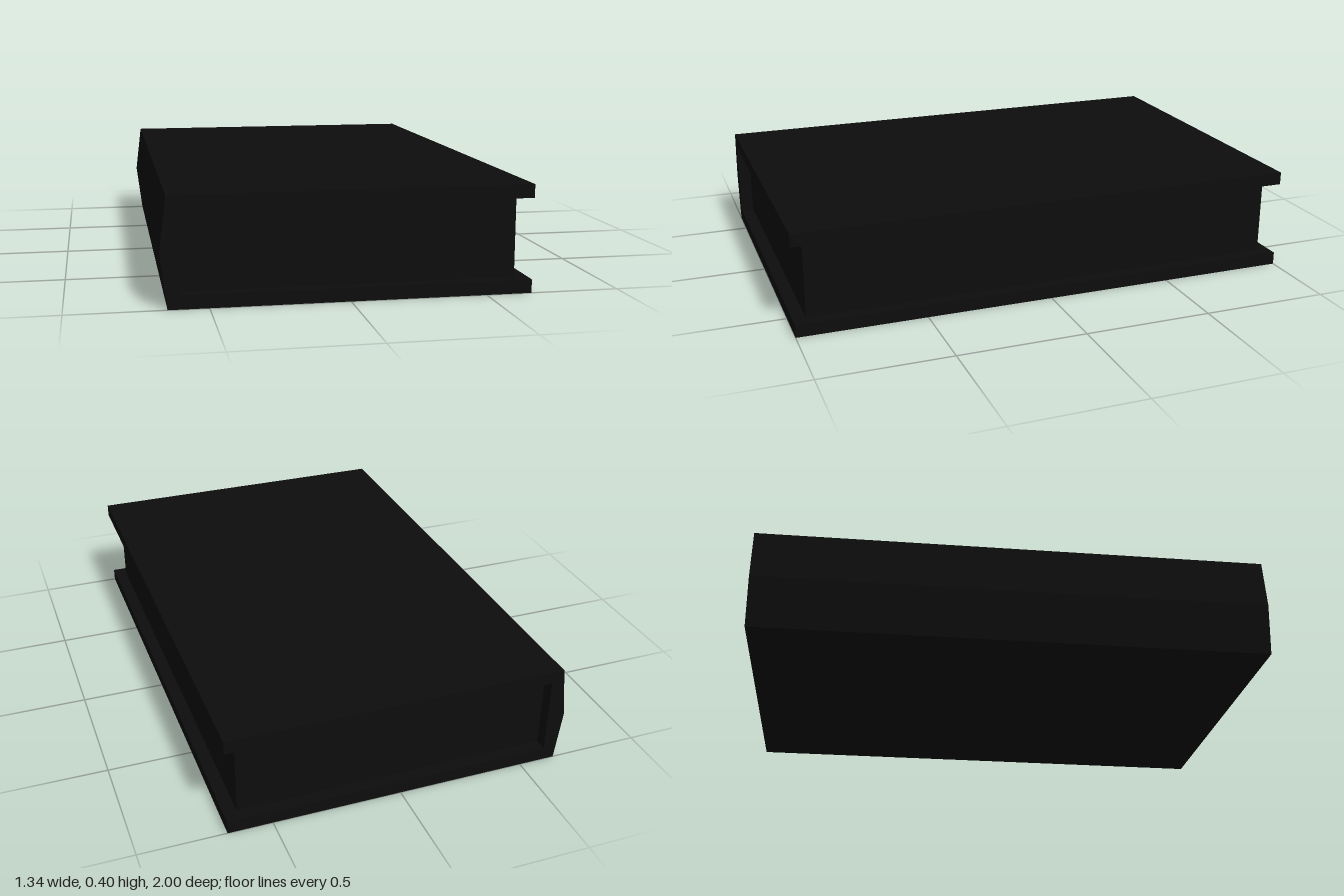
import * as THREE from 'three';

export function createModel() {
  const book = new THREE.Group();
  book.name = 'book';
  const black = new THREE.MeshStandardMaterial({ color: 0x0d0d0d });
  black.name = 'black';

  // Hard cover: two boards joined by a ridged spine, as one C-shaped section
  const section = new THREE.Shape([
    [-0.645, 0], [0.67, 0], [0.67, 0.05], [-0.6, 0.05],
    [-0.6, 0.35], [0.67, 0.35], [0.67, 0.4], [-0.645, 0.4], [-0.67, 0.2],
  ].map(([x, y]) => new THREE.Vector2(x, y)));
  const coverGeometry = new THREE.ExtrudeGeometry(section, { depth: 2, bevelEnabled: false });
  coverGeometry.translate(0, 0, -1);
  const cover = new THREE.Mesh(coverGeometry, black);
  cover.name = 'cover';

  // Page block, set back from the cover edges
  const pages = new THREE.Mesh(new THREE.BoxGeometry(1.22, 0.3, 1.9), black);
  pages.name = 'pages';
  pages.position.set(0.01, 0.2, 0);

  book.add(cover, pages);
  return book;
}
